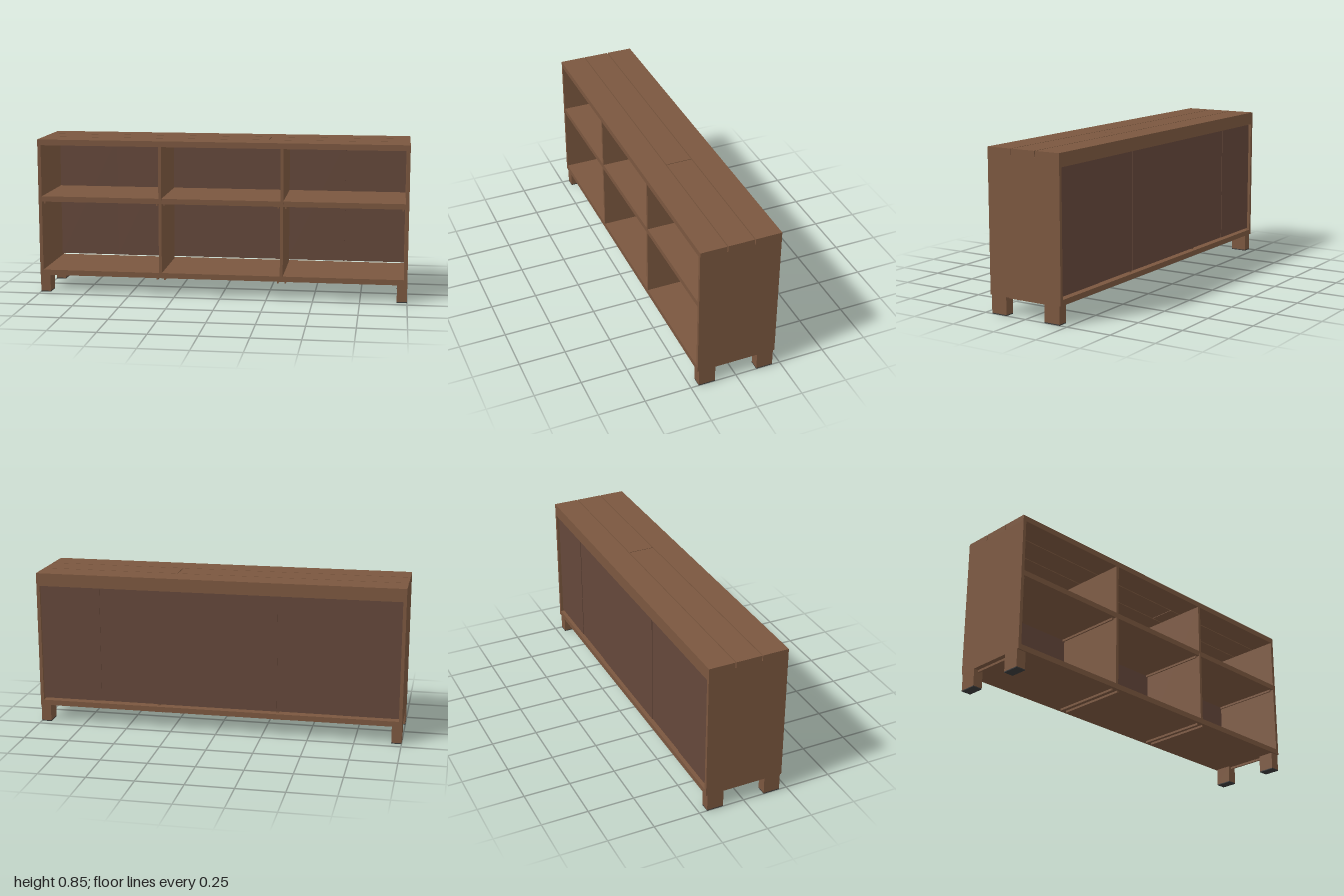
import * as THREE from 'three';

export function createModel() {
  const root = new THREE.Group();
  const wood = new THREE.MeshStandardMaterial({ color: 0x7b573f });
  const panelWood = new THREE.MeshStandardMaterial({ color: 0x64473a });
  const rubber = new THREE.MeshStandardMaterial({ color: 0x3a3a3a });

  // Box given by its lower and upper limits on each axis
  function slab(name, [x0, x1], [y0, y1], [z0, z1], material = wood) {
    const mesh = new THREE.Mesh(new THREE.BoxGeometry(x1 - x0, y1 - y0, z1 - z0), material);
    mesh.position.set((x0 + x1) / 2, (y0 + y1) / 2, (z0 + z1) / 2);
    mesh.name = name;
    root.add(mesh);
  }

  const back = -0.215, front = 0.215;
  const floorY = 0.097, topY = 0.845, topUnder = 0.814;
  const wall = 0.018, board = 0.029;
  const shelfY = 0.505;
  const dividerX = 0.329;

  // Top: three planks with open grooves, the middle one jointed
  const groove = 0.0025;
  slab('topPlankBack', [-1, 1], [topUnder, topY], [back, -0.072 - groove]);
  slab('topPlankFront', [-1, 1], [topUnder, topY], [0.072 + groove, front]);
  slab('topPlankMiddleRight', [-1, 0.243], [topUnder, topY], [-0.072 + groove, 0.072 - groove]);
  slab('topPlankMiddleLeft', [0.247, 1], [topUnder, topY], [-0.072 + groove, 0.072 - groove]);

  // Side walls and dividers
  for (const s of [-1, 1]) {
    const span = (a, b) => (s > 0 ? [a, b] : [-b, -a]);
    slab('sideWall', span(1 - wall, 1), [floorY, topUnder], [back, front]);
    slab('divider', span(dividerX - 0.008, dividerX + 0.008), [floorY + board, topUnder], [-0.188, front]);
  }

  // Bottom board and middle shelf
  const inner = 1 - wall;
  slab('bottomBoard', [-inner, inner], [floorY, floorY + board], [back, front]);
  const bays = [[-inner, -dividerX - 0.008], [-dividerX + 0.008, dividerX - 0.008], [dividerX + 0.008, inner]];
  for (const bay of bays) slab('shelf', bay, [shelfY, shelfY + board], [-0.188, front - 0.001]);

  // Support strips under the bottom board and the shelves
  for (const [x0, x1] of bays) {
    for (const x of [x0 + 0.008, x1 - 0.016]) {
      slab('shelfStrip', [x, x + 0.008], [shelfY - 0.012, shelfY], [-0.185, 0.2]);
      slab('bottomStrip', [x, x + 0.008], [floorY - 0.012, floorY], [-0.185, 0.2]);
    }
  }

  // Back: flush top rail over thin panels that stop short of the bottom board
  slab('backRail', [-inner, inner], [0.775, topUnder], [back, -0.2]);
  const seams = [-inner, -0.65, -0.327, 0.327, 0.65, inner];
  for (let i = 0; i < seams.length - 1; i++) {
    const shift = i % 2 ? 0.003 : 0;
    slab('backPanel', [seams[i], seams[i + 1]], [floorY + board + 0.01, topUnder],
      [-0.2 + shift, -0.192 + shift], panelWood);
  }

  // Legs with foot pads
  for (const x of [[-1, -0.946], [0.946, 1]]) {
    for (const z of [[-0.207, -0.117], [0.117, 0.207]]) {
      slab('leg', x, [0.005, floorY], z);
      slab('footPad', x, [0, 0.005], z, rubber);
    }
  }
  return root;
}
